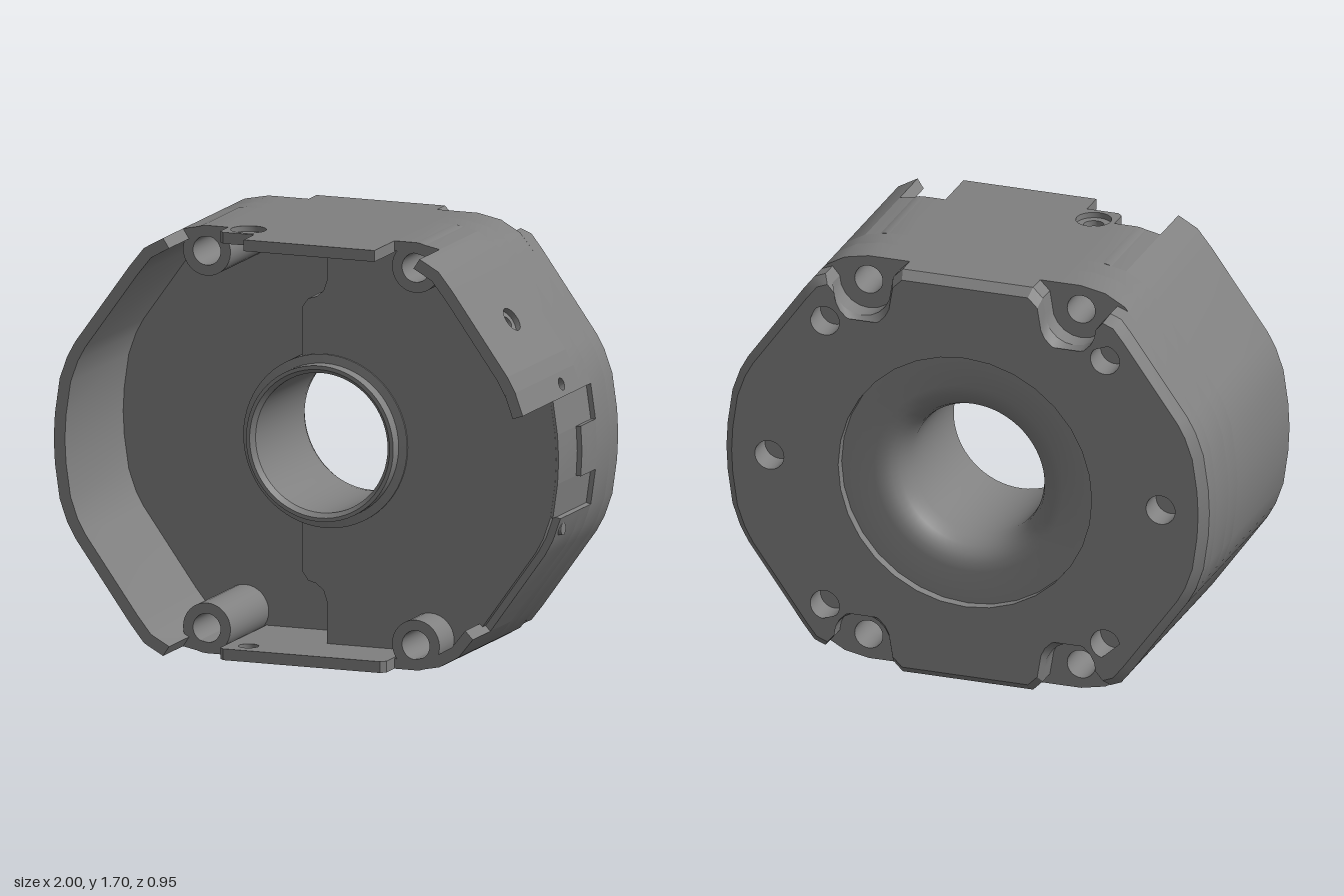
import * as THREE from 'three';
import { toCreasedNormals } from 'three/addons/utils/BufferGeometryUtils.js';

const V = (x, y) => new THREE.Vector2(x, y);
const metal = new THREE.MeshStandardMaterial({ color: 0x808080 });
metal.name = 'grey metal';

// One quarter of the outer outline, mirrored into a counter-clockwise loop of 38 points
const Q = [[1, 0], [0.995, 0.1], [0.975, 0.24], [0.943, 0.33], [0.91, 0.39],
  [0.68, 0.71], [0.62, 0.785], [0.54, 0.83], [0.44, 0.85], [0.35, 0.85]];
const mirrorLoop = (q) => {
  const p = q.map(([x, y]) => V(x, y));
  const r = [...p].reverse();
  return [...p, ...r.map((v) => V(-v.x, v.y)),
    ...p.slice(1).map((v) => V(-v.x, -v.y)), ...r.slice(0, -1).map((v) => V(v.x, -v.y))];
};
const outline = mirrorLoop(Q);
const at = (i) => outline[i % outline.length];
const scaled = (v, s) => v.clone().multiplyScalar(s);

const BACK = -0.475, NOTCH = -0.36, FLOOR = -0.12, INSERT = 0.12, FRONT = 0.475;
const BOLT_R = 0.058, RECESS = 0.98, THICK = 0.045;
const corners = (x, y) => [[x, y], [-x, y], [-x, -y], [x, -y]];
const bolts = corners(0.44, 0.75);

const circle = (x, y, r) => new THREE.Path().absarc(x, y, r, 0, Math.PI * 2, true);

function slab(points, holes, z0, z1) {
  const shape = new THREE.Shape(points);
  shape.holes = holes.map((h) => circle(...h));
  const g = new THREE.ExtrudeGeometry(shape, { depth: z1 - z0, bevelEnabled: false, curveSegments: 16 });
  return g.translate(0, 0, z0);
}

export function createModel() {
  const model = new THREE.Group();
  const body = new THREE.Group();
  body.name = 'housing';
  body.position.y = 0.85;
  model.add(body);

  const add = (name, geometry) => {
    const mesh = new THREE.Mesh(toCreasedNormals(geometry, 0.5), metal);
    mesh.name = name;
    body.add(mesh);
    return mesh;
  };

  // Back face: outline with four bolt notches, blind holes and a chamfered rim
  const notched = Q.slice(0, 6).concat([[0.635, 0.767], [0.59, 0.785]]);
  for (let i = 0; i <= 10; i++) {
    const a = -Math.PI * i / 10;
    notched.push([0.44 + 0.12 * Math.cos(a), 0.75 + 0.12 * Math.sin(a)]);
  }
  notched.push([0.31, 0.81], [0.27, 0.85]);
  const blind = [...corners(0.58, 0.6), [0.81, 0], [-0.81, 0]];
  const backGeo = slab(mirrorLoop(notched), [[0, 0, 0.525], ...blind.map((c) => [...c, 0.06])], BACK, NOTCH);
  const pos = backGeo.attributes.position;
  for (let i = 0; i < pos.count; i++) {
    const x = pos.getX(i), y = pos.getY(i);
    const inHole = Math.hypot(x, y) < 0.53 || blind.some((c) => Math.hypot(x - c[0], y - c[1]) < 0.062);
    if (!inHole && pos.getZ(i) < BACK + 0.01) pos.setXY(i, x * 0.966, y * 0.962);
    // the straight part of the side starts after the chamfer
    else if (!inHole) pos.setZ(i, BACK + 0.035);
  }
  add('backFace', backGeo);
  add('backRim', slab(mirrorLoop(notched),
    [[0, 0, 0.525], ...blind.map((c) => [...c, 0.06])], BACK + 0.035, NOTCH));

  // Solid base, its upper part stepped in where the side tongue slots are
  const baseHoles = [[0, 0, 0.33], ...bolts.map((c) => [...c, BOLT_R])];
  add('base', slab(outline, baseHoles, NOTCH, -0.22));
  const slotted = [];
  outline.forEach((v, i) => {
    if (i === 2 || i === 37) slotted.push(scaled(v, RECESS));
    slotted.push(v);
    if (i === 1 || i === 36) slotted.push(scaled(v, RECESS));
  });
  add('baseUpper', slab(slotted, baseHoles, -0.22, FLOOR));

  // Curved wall pieces between two outline points
  const wall = (name, from, to, z1, z0 = FLOOR, s = 1) => {
    const outer = [], inner = [];
    for (let i = from; i <= to; i++) {
      outer.push(scaled(at(i), s));
      inner.unshift(scaled(at(i), 0.953));
    }
    add(name, slab([...outer, ...inner], [], z0, z1));
  };
  wall('sideWall', 12, 26, FRONT);
  wall('topCornerWall', 10, 12, 0.27);
  wall('topCornerWall', 7, 9, 0.27);
  wall('bottomCornerWall', 26, 28, 0.27);
  wall('bottomCornerWall', 29, 33, 0.27);
  wall('lowSideWall', 33, 36, 0.09);
  wall('slotWall', 36, 37, INSERT, FLOOR, RECESS);
  wall('tongue', 37, 39, -0.07);
  wall('slotWall', 37, 39, INSERT, -0.07, RECESS);
  wall('slotWall', 1, 2, INSERT, FLOOR, RECESS);
  wall('upperSideWall', 3, 4, FRONT);
  wall('upperSideWall', 5, 7, FRONT);

  // Flat wall panels with a countersunk hole; u runs along the edge, v along z
  const panel = (name, from, points, u, v, r, sink) => {
    const a = at(from), b = at(from + 1);
    const t = new THREE.Vector3(b.x - a.x, b.y - a.y, 0).normalize();
    const n = new THREE.Vector3(t.y, -t.x, 0);
    const m = new THREE.Matrix4().makeBasis(t, new THREE.Vector3(0, 0, 1), n)
      .setPosition(a.x, a.y, 0);
    const mid = -THICK / 2;
    add(name, slab(points, [[u, v, r]], -THICK, mid).applyMatrix4(m));
    add(name, slab(points, [[u, v, sink]], mid, 0).applyMatrix4(m));
  };
  const rect = (w, z1) => [V(0, FLOOR), V(w, FLOOR), V(w, z1), V(0, z1)];
  const span = (i) => at(i).distanceTo(at(i + 1));
  panel('pinholePanel', 2, rect(span(2), FRONT), span(2) / 2, 0.04, 0.025, 0.025);
  panel('screwPanel', 4, rect(span(4), FRONT), span(4) / 2, 0.15, 0.025, 0.05);
  panel('topTab', 9, [V(0, FLOOR), V(0.7, FLOOR), V(0.7, 0.35), V(0.68, 0.37),
    V(0.55, 0.37), V(0.55, FRONT), V(0, FRONT)], 0.61, 0.28, 0.04, 0.07);
  panel('bottomTab', 28, [V(0, FLOOR), V(0.7, FLOOR), V(0.7, 0.35), V(0.68, 0.37),
    V(0.02, 0.37), V(0, 0.35)], 0.09, 0.28, 0.04, 0.07);

  // Raised floor on the left half, with a jogged seam and a gap for the hub
  const seam = [[0.005, 0.82], [0.005, 0.64], [-0.01, 0.595], [-0.04, 0.57],
    [-0.075, 0.56], [-0.1, 0.525], [-0.1, 0.31]];
  const insert = [];
  for (let i = 29; i <= 38 + 9; i++) insert.push(scaled(at(i), 0.97));
  seam.forEach(([x, y]) => insert.push(V(x, y)));
  const a0 = Math.PI * 0.6;
  for (let i = 0; i <= 24; i++) {
    const a = a0 - 2 * a0 * i / 24;
    insert.push(V(0.32 * Math.cos(a), 0.32 * Math.sin(a)));
  }
  [...seam].reverse().forEach(([x, y]) => insert.push(V(x, -y)));
  add('raisedFloor', slab(insert, bolts.filter((c) => c[0] > 0).map((c) => [...c, BOLT_R]), FLOOR, INSERT + 0.001));

  // Bolt bosses
  for (const [x, y] of bolts) {
    const ring = new THREE.Shape().absarc(0, 0, 0.1, 0, Math.PI * 2, false);
    ring.holes.push(circle(0, 0, BOLT_R));
    const g = new THREE.ExtrudeGeometry(ring, { depth: 0.27 - FLOOR, bevelEnabled: false, curveSegments: 16 });
    add('boltBoss', g.translate(x, y, FLOOR));
  }

  // Central hub: outer collar, bore and flared dish at the back
  const profile = [[0.345, FLOOR], [0.345, 0.128], [0.31, 0.13], [0.31, 0.185], [0.295, 0.185],
    [0.278, 0.165], [0.278, -0.31], [0.284, -0.35], [0.3, -0.39], [0.325, -0.417],
    [0.355, -0.431], [0.39, -0.435], [0.527, -0.435]].map(([r, z]) => V(r, z));
  add('hub', new THREE.LatheGeometry(profile, 64).rotateX(Math.PI / 2));

  // Small locating pin on the side
  add('sidePin', new THREE.CylinderGeometry(0.025, 0.025, 0.05, 16)
    .rotateZ(Math.PI / 2).translate(0.942, -0.29, 0.04));

  return model;
}
